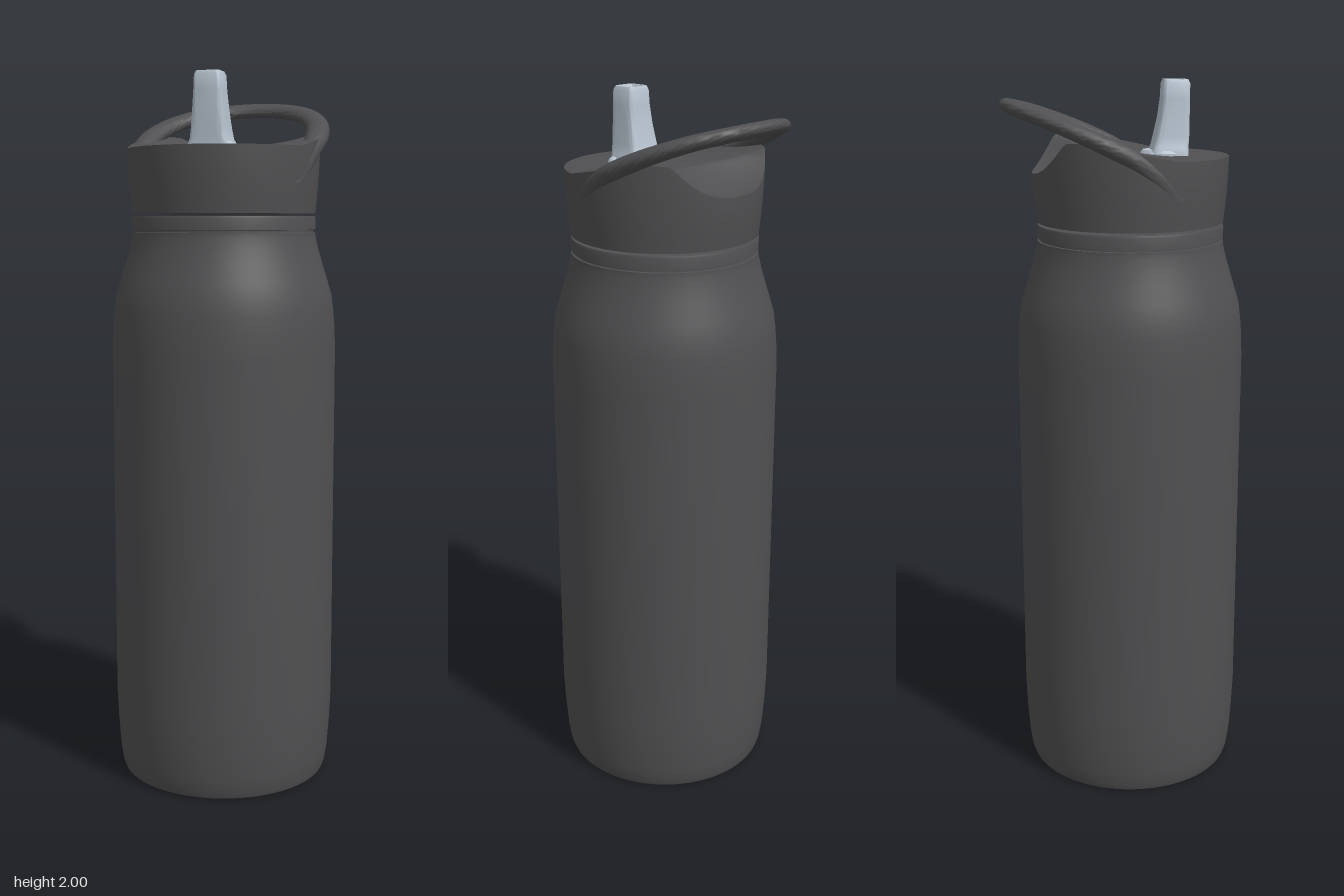
import * as THREE from 'three';
import { toCreasedNormals } from 'three/addons/utils/BufferGeometryUtils.js';
import { ParametricGeometry } from 'three/addons/geometries/ParametricGeometry.js';

const AXIS_Z = 0.017; // bottle axis

export function createModel() {
  const group = new THREE.Group();
  const charcoal = new THREE.MeshStandardMaterial({ color: 0x505052 });
  charcoal.name = 'charcoal';
  const paleBlue = new THREE.MeshStandardMaterial({ color: 0xb6c2ce });
  paleBlue.name = 'pale blue grey';

  const add = (name, geometry, material, x = 0, y = 0, z = 0) => {
    const mesh = new THREE.Mesh(geometry, material);
    mesh.name = name;
    mesh.position.set(x, y, z);
    group.add(mesh);
    return mesh;
  };
  const surface = (fn, nu, nv, crease = 0.6) =>
    toCreasedNormals(new ParametricGeometry(fn, nu, nv), crease);
  const lathe = (points, sides = 96) =>
    toCreasedNormals(new THREE.LatheGeometry(points.map(([r, y]) => new THREE.Vector2(r, y)), sides), 0.6);

  // Bottle: straight sides, curved shoulder, grooved neck ring
  add('bottleBody', lathe([
    [0, 0.004], [0.27, 0.004], [0.285, 0], [0.296, 0.004], [0.302, 0.02], [0.308, 0.06],
    [0.314, 0.14], [0.318, 0.23], [0.318, 1.24], [0.316, 1.3], [0.312, 1.35], [0.306, 1.395],
    [0.294, 1.435], [0.28, 1.48], [0.268, 1.52], [0.26, 1.555], [0.258, 1.57],
    [0.252, 1.571], [0.252, 1.576], [0.258, 1.577], [0.259, 1.608], [0.257, 1.614], [0, 1.614],
  ]), charcoal, 0, 0, AXIS_Z);

  // Height of the cap's top: flat in front, rising to the back, with a finger scoop
  const capTop = (x, z) => {
    const rise = Math.max(0, 0.12 - z);
    const lid = 1.8 + rise * (0.06 + 0.1 * Math.min(1.5, (x / 0.2) ** 2));
    const depth = -0.09 - 0.08 * (x / 0.18) ** 2 - z;
    if (depth <= 0) return lid;
    return lid - 0.068 * Math.sin(Math.min(1, depth / 0.16) * Math.PI / 2);
  };

  // Cap: underside, flared wall and sculpted top in one surface
  const WALL = 8, TOP = 48, ROWS = 1 + WALL + TOP;
  add('cap', surface((u, v, p) => {
    const a = u * Math.PI * 2, row = Math.round(v * ROWS);
    const at = (r, y) => p.set(r * Math.sin(a), y, AXIS_Z + r * Math.cos(a));
    if (row === 0) return at(0, 1.621);
    if (row <= WALL + 1) {
      at(0.27, 0);
      const t = (row - 1) / WALL;
      const y = THREE.MathUtils.lerp(1.621, capTop(p.x, p.z), t);
      return at(0.258 + 0.012 * Math.sin(t * Math.PI / 2), y);
    }
    at(0.27 * (1 - (row - 1 - WALL) / TOP), 0);
    p.y = capTop(p.x, p.z);
    return p;
  }, 128, ROWS, 0.5), charcoal);

  // Carry loop: flattened bar swept around the back, ends sunk into the cap
  const half = [
    [0.236, 1.69, 0.11], [0.246, 1.75, 0.065], [0.251, 1.8, 0.005], [0.248, 1.84, -0.07],
    [0.222, 1.877, -0.155], [0.165, 1.908, -0.236], [0.085, 1.925, -0.29],
  ];
  const path = new THREE.CatmullRomCurve3([
    ...half.map(([x, y, z]) => new THREE.Vector3(-x, y, z)),
    new THREE.Vector3(0, 1.93, -0.307),
    ...half.slice().reverse().map(([x, y, z]) => new THREE.Vector3(x, y, z)),
  ]);
  const tilt = new THREE.Vector3(0, 1, 0.4).normalize();
  add('carryLoop', surface((u, v, p) => {
    const a = u * Math.PI * 2;
    const tangent = path.getTangentAt(v);
    const side = tilt.clone().cross(tangent).normalize();
    const up = tangent.clone().cross(side);
    const end = Math.min(1, Math.min(v, 1 - v) / 0.16); // taper towards the ends
    const width = 0.012 + 0.021 * end;
    const height = 0.019 + 0.012 * (1 - Math.sin(v * Math.PI));
    path.getPointAt(v, p);
    return p.addScaledVector(side, width * Math.cos(a)).addScaledVector(up, height * Math.sin(a));
  }, 24, 96, 1), charcoal);

  // Mouthpiece: rounded rectangles [y, half width, back z, front z], hollow at the tip
  const rings = [
    [1.79, 0.058, 0.07, 0.173], [1.812, 0.058, 0.07, 0.173], [1.822, 0.053, 0.076, 0.173],
    [1.85, 0.049, 0.083, 0.175], [1.9, 0.044, 0.094, 0.176], [1.95, 0.04, 0.101, 0.177],
    [1.99, 0.038, 0.103, 0.177], [2.0, 0.033, 0.108, 0.172], [2.0, 0.026, 0.114, 0.162],
    [1.992, 0.022, 0.118, 0.157], [1.95, 0.02, 0.12, 0.155], [1.95, 0, 0.137, 0.137],
  ];
  const squared = (t) => Math.sign(t) * Math.abs(t) ** 0.3;
  add('mouthpiece', surface((u, v, p) => {
    const [y, w, back, front] = rings[Math.round(v * (rings.length - 1))];
    const a = u * Math.PI * 2;
    return p.set(w * squared(Math.sin(a)), y,
      (back + front) / 2 + (front - back) / 2 * squared(Math.cos(a)));
  }, 48, rings.length - 1, 0.7), paleBlue);

  // Pivot disc and hinge pin under the mouthpiece
  add('pivotDisc', lathe([[0, 1.79], [0.064, 1.79], [0.064, 1.806], [0.058, 1.814], [0, 1.818]], 48),
    paleBlue, 0, 0, 0.109);
  add('hingePin', new THREE.SphereGeometry(0.019, 20, 14), paleBlue, 0.054, 1.797, 0.153);

  return group;
}
